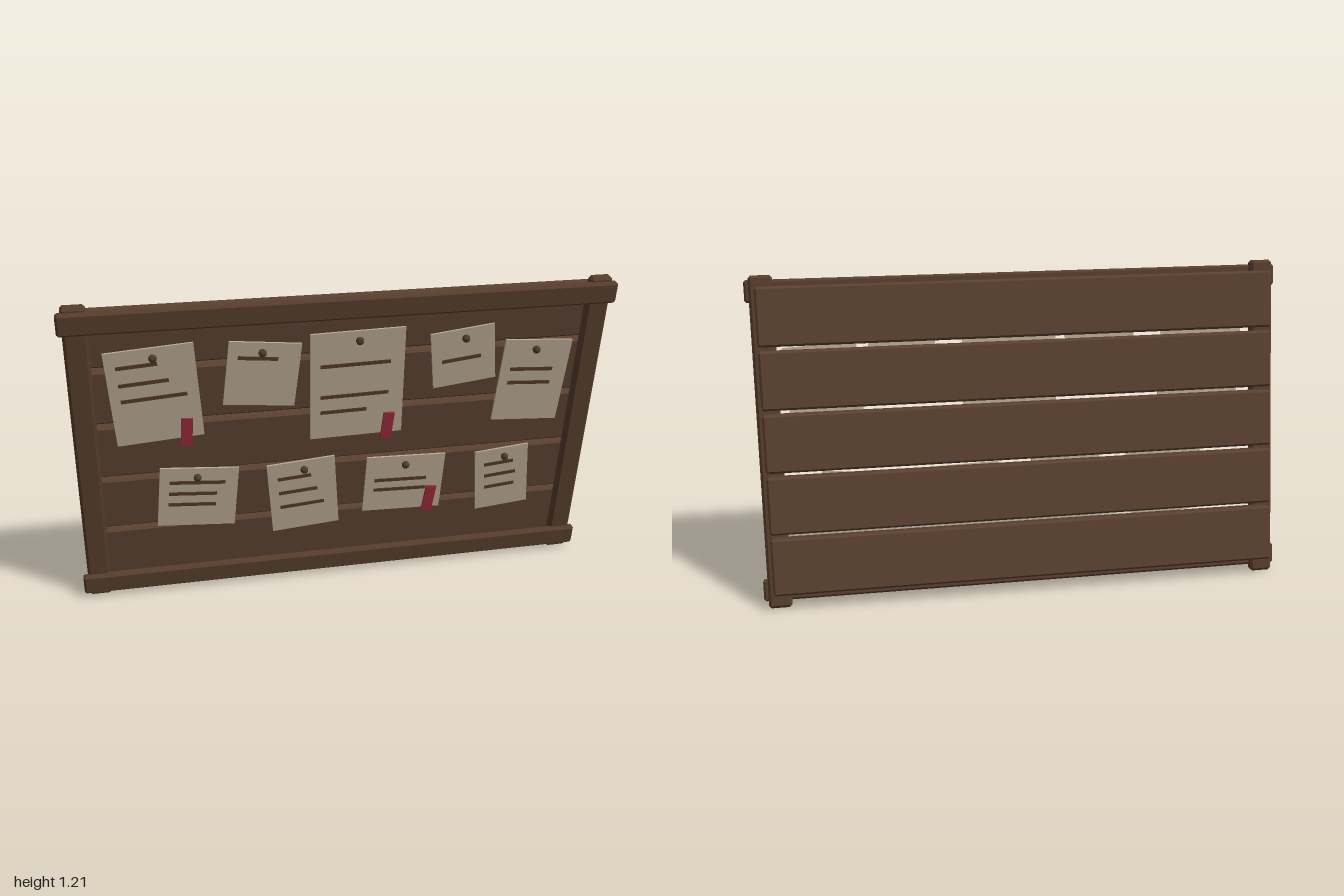
import * as THREE from 'three';
import { ConvexGeometry } from 'three/addons/geometries/ConvexGeometry.js';

const mat = (name, color) => {
  const m = new THREE.MeshStandardMaterial({ color });
  m.name = name;
  return m;
};

// Box with every edge and corner chamfered by c
function chamferBox(w, h, d, c) {
  const points = [];
  for (const x of [-1, 1]) for (const y of [-1, 1]) for (const z of [-1, 1])
    for (let face = 0; face < 3; face++)
      points.push(new THREE.Vector3(
        x * (w / 2 - (face === 0 ? 0 : c)),
        y * (h / 2 - (face === 1 ? 0 : c)),
        z * (d / 2 - (face === 2 ? 0 : c))));
  return new ConvexGeometry(points);
}

export function createModel() {
  const plankWood = mat('plank wood', 0x5a4030);
  const frameWood = mat('frame wood', 0x573d2c);
  const paper = mat('paper', 0xb5a790);
  const ink = mat('ink', 0x54392a);
  const red = mat('red ribbon', 0x962a38);
  const pinMetal = mat('pin metal', 0x4a3b2e);

  const model = new THREE.Group();
  model.name = 'noticeBoard';

  // The whole board leans forward
  const board = new THREE.Group();
  board.name = 'leaningBoard';
  board.position.y = 0.6;
  board.rotation.x = THREE.MathUtils.degToRad(10);
  model.add(board);

  const add = (parent, name, geometry, material, x, y, z, turn = 0) => {
    const mesh = new THREE.Mesh(geometry, material);
    mesh.name = name;
    mesh.position.set(x, y, z);
    mesh.rotation.z = turn;
    parent.add(mesh);
    return mesh;
  };

  // Five horizontal planks
  const plank = chamferBox(1.92, 0.214, 0.05, 0.008);
  for (let i = -2; i <= 2; i++) add(board, 'plank', plank, plankWood, 0, 0.02 + i * 0.2285, -0.033);

  // Frame: two posts, with a rail across the top and bottom
  const post = chamferBox(0.085, 1.228, 0.04, 0.01);
  for (const side of [-1, 1]) add(board, 'post', post, frameWood, side * 0.94, 0.01, 0.013);
  const rail = chamferBox(2, 0.082, 0.032, 0.008);
  add(board, 'topRail', rail, frameWood, 0, 0.567, 0.034);
  add(board, 'bottomRail', rail, frameWood, 0, -0.541, 0.034);

  // Notes: centre x, height y, width, height, turn, then written lines [offset y, length]
  const notes = [
    [-0.687, 0.847, 0.315, 0.38, 0.075, [[0.127, 0.145], [0.057, 0.177], [-0.008, 0.235]]],
    [-0.302, 0.901, 0.263, 0.255, -0.1, [[0.065, 0.145]]],
    [0.051, 0.832, 0.352, 0.44, 0.022, [[0.086, 0.262], [-0.043, 0.257], [-0.108, 0.176]]],
    [0.452, 0.917, 0.243, 0.228, 0.125, [[-0.008, 0.15]]],
    [0.735, 0.794, 0.266, 0.345, -0.06, [[0.05, 0.17], [-0.008, 0.17]]],
    [-0.548, 0.398, 0.295, 0.26, -0.08, [[0.067, 0.21], [0.017, 0.18], [-0.032, 0.18]]],
    [-0.142, 0.366, 0.263, 0.31, 0.085, [[0.086, 0.13], [0.021, 0.15], [-0.045, 0.172]]],
    [0.259, 0.377, 0.315, 0.25, -0.03, [[0.018, 0.21], [-0.027, 0.21]]],
    [0.666, 0.361, 0.218, 0.277, 0.1, [[0.072, 0.12], [0.018, 0.13], [-0.037, 0.125]]],
  ];
  const onBoard = (y) => (y - 0.6) / 0.985;
  const pin = new THREE.SphereGeometry(0.015, 12, 8);
  for (const [x, y, w, h, turn, lines] of notes) {
    const note = new THREE.Group();
    note.name = 'note';
    note.position.set(x, onBoard(y), -0.004);
    board.add(note);
    const sheet = new THREE.Group();
    sheet.name = 'sheet';
    sheet.rotation.z = turn;
    note.add(sheet);
    add(sheet, 'paperSheet', new THREE.BoxGeometry(w, h, 0.008), paper, 0, 0, 0);
    for (const [lineY, length] of lines)
      add(sheet, 'writtenLine', new THREE.BoxGeometry(length, 0.014, 0.004), ink,
        -w / 2 + 0.037 + length / 2, lineY, 0.005);
    add(note, 'pin', pin, pinMetal, 0, h / 2 - 0.037, 0.011);
  }

  // Red ribbons on three notes
  const ribbon = new THREE.BoxGeometry(0.042, 0.112, 0.008);
  for (const [x, y, turn] of [[-0.58, 0.692, -0.06], [0.174, 0.65, -0.08], [0.366, 0.297, -0.12]])
    add(board, 'ribbon', ribbon, red, x, onBoard(y), 0.005, turn);

  return model;
}
